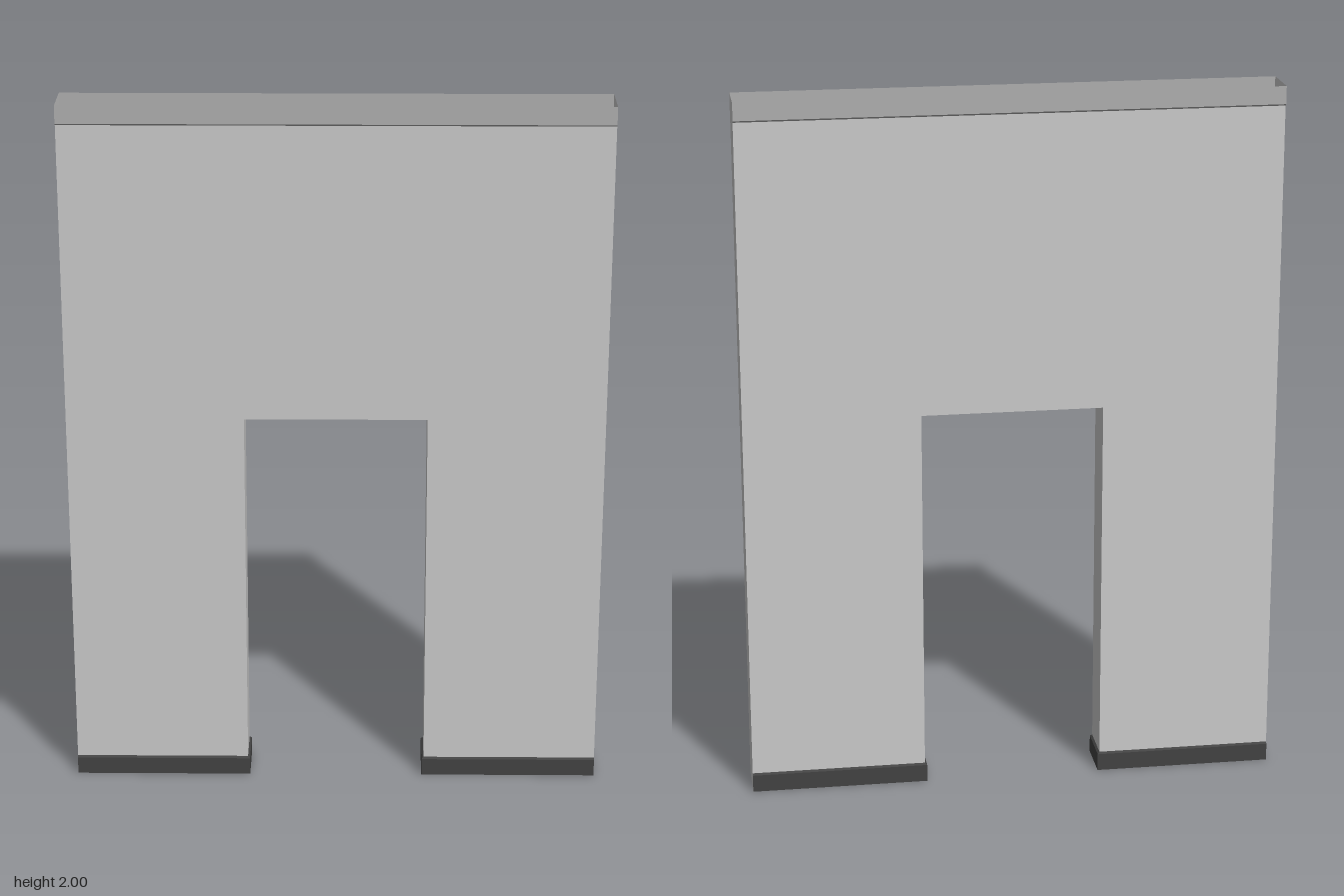
import * as THREE from 'three';

const W = 0.75, H = 2;            // half width, height
const DOOR = 0.255, DOOR_H = 1.105; // half width and height of the opening
const D = 0.061, LIP = 0.067;     // half depth of wall and of its trim
const TRIM = 0.05, STEP = 0.005;  // trim height, sloped edge height

const paint = (color) =>
  new THREE.MeshStandardMaterial({ color, side: THREE.DoubleSide, flatShading: true });

// Open strip between two rows of points of equal length, outward for rows running left to right
function strip(lower, upper) {
  const pos = [];
  for (let i = 0; i < lower.length - 1; i++) {
    const [a, b, c, d] = [lower[i], lower[i + 1], upper[i + 1], upper[i]];
    pos.push(...a, ...b, ...c, ...a, ...c, ...d);
  }
  const geo = new THREE.BufferGeometry();
  geo.setAttribute('position', new THREE.Float32BufferAttribute(pos, 3));
  geo.computeVertexNormals();
  return geo;
}

export function createModel() {
  const model = new THREE.Group();
  const wallMat = paint(0xcccccc), corniceMat = paint(0xb0b0b0), skirtMat = paint(0x434343);
  const add = (name, geo, mat, turn = 0) => {
    const mesh = new THREE.Mesh(geo, mat);
    mesh.name = name;
    mesh.rotation.y = turn;
    model.add(mesh);
  };
  const low = TRIM + STEP, high = H - TRIM - STEP;

  // Wall outline around the doorway
  const face = new THREE.Shape([
    [-W, low], [-DOOR, low], [-DOOR, DOOR_H], [DOOR, DOOR_H],
    [DOOR, low], [W, low], [W, high], [-W, high],
  ].map(([x, y]) => new THREE.Vector2(x, y)));

  // End profile, a little wider at the trims
  const side = [[LIP, 0], [LIP, TRIM], [D, low], [D, high], [LIP, H - TRIM], [LIP, H]];
  const end = strip(side.map(([z, y]) => [W, y, -z]), side.map(([z, y]) => [W, y, z]));
  end.scale(1, 1, 1);

  for (const [label, turn] of [['front', 0], ['back', Math.PI]]) {
    // Wall face
    add(label + 'Wall', new THREE.ShapeGeometry(face).translate(0, 0, D), wallMat, turn);

    // Cornice: upright band and sloped lower edge
    const row = (y, z) => [[-W, y, z], [W, y, z]];
    add(label + 'Cornice', strip(row(H - TRIM, LIP), row(H, LIP)), corniceMat, turn);
    add(label + 'CorniceEdge', strip(row(high, D), row(H - TRIM, LIP)), corniceMat, turn);

    // End of the wall and jamb of the doorway
    const hand = turn ? 'right' : 'left';
    add(hand + 'End', end, wallMat, turn);
    add(hand + 'Jamb', strip(
      [[DOOR, low, D], [DOOR, low, -D]].reverse(),
      [[DOOR, DOOR_H, D], [DOOR, DOOR_H, -D]].reverse()), wallMat, turn);

    // Skirting wrapped round three sides of each leg
    const wrap = (x, y, z) => [[W, y, -z], [x, y, -z], [x, y, z], [W, y, z]];
    const inner = DOOR - (LIP - D);
    add(hand + 'Skirting', strip(wrap(inner, 0, LIP), wrap(inner, TRIM, LIP)), skirtMat, turn);
    add(hand + 'SkirtingEdge', strip(wrap(inner, TRIM, LIP), wrap(DOOR, low, D)), skirtMat, turn);
  }

  // Underside of the doorway head
  add('doorHead', strip(
    [[-DOOR, DOOR_H, -D], [DOOR, DOOR_H, -D]],
    [[-DOOR, DOOR_H, D], [DOOR, DOOR_H, D]]), wallMat);

  return model;
}
